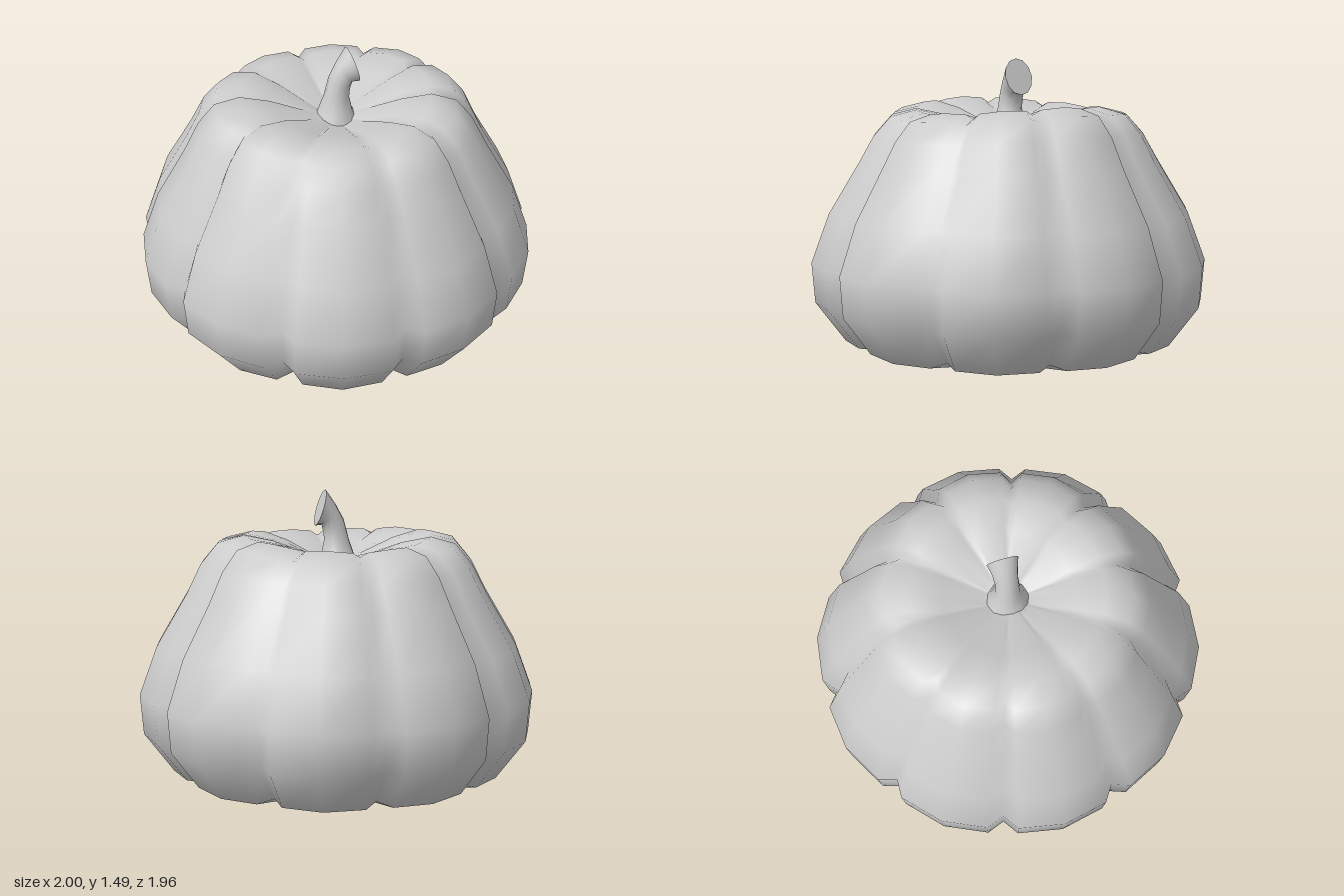
import * as THREE from 'three';

const LOBES = 10;
// share of the groove depth at the four points across one lobe
const GROOVE = [0, 0.22, 1, 0.22];
const LOBE_ANGLES = [0, 13.5, 18, 22.5];

// skin through closed rings of points, ordered from bottom to top
function loft(rings) {
  const n = rings[0].length;
  const index = [];
  for (let i = 0; i < rings.length - 1; i++) {
    for (let j = 0; j < n; j++) {
      const a = i * n + j, b = i * n + (j + 1) % n;
      index.push(a, a + n, b, b, a + n, b + n);
    }
  }
  const geometry = new THREE.BufferGeometry().setFromPoints(rings.flat());
  geometry.setIndex(index);
  geometry.computeVertexNormals();
  return geometry;
}

// one ribbed ring: radius, height, groove depth inward, groove height change
function ribbedRing([r, y, depth, lift]) {
  const points = [];
  for (let k = 0; k < LOBES; k++) {
    for (let s = 0; s < 4; s++) {
      const angle = THREE.MathUtils.degToRad(k * 36 + LOBE_ANGLES[s]);
      const radius = r - depth * GROOVE[s];
      // the crown sits slightly lower towards the front and back
      const drop = 0.035 * Math.sin(angle) ** 2 * THREE.MathUtils.smoothstep(y, 0.9, 1.24);
      points.push(new THREE.Vector3(
        radius * Math.cos(angle), y + lift * GROOVE[s] - drop, radius * Math.sin(angle)));
    }
  }
  return points;
}

// one stem ring: centre x and y, tilt in degrees, radius, radius along z
function stemRing([x, y, tilt, r, rz]) {
  const t = THREE.MathUtils.degToRad(tilt);
  const points = [];
  for (let j = 0; j < 12; j++) {
    const a = j / 12 * Math.PI * 2;
    points.push(new THREE.Vector3(
      x + r * Math.cos(a) * Math.cos(t), y + r * Math.cos(a) * Math.sin(t), rz * Math.sin(a)));
  }
  return points;
}

export function createModel() {
  const group = new THREE.Group();
  const material = new THREE.MeshStandardMaterial({ color: 0xcccccc });
  const add = (name, rings) => {
    const mesh = new THREE.Mesh(loft(rings), material);
    mesh.name = name;
    group.add(mesh);
  };

  // ribbed body, from the bottom rim over the crown into the hollow
  const rim = [0.56, 0.035, 0.06, 0.04];
  add('body', [
    rim,
    [0.84, 0.1, 0.08, 0.02],
    [0.985, 0.3, 0.08, 0],
    [1.0, 0.5, 0.08, 0],
    [0.91, 0.74, 0.08, 0],
    [0.76, 0.99, 0.07, 0],
    [0.685, 1.14, 0.07, -0.01],
    [0.6, 1.24, 0.06, -0.02],
    [0.47, 1.273, 0.02, -0.03],
    [0.32, 1.24, 0, -0.02],
    [0.12, 1.16, 0, 0],
    [0, 1.14, 0, 0],
  ].map(ribbedRing));

  // nearly flat underside
  add('underside', [[0, 0, 0, 0], rim].map(ribbedRing));

  // bent stem with a slanted cut
  const cut = [0.0875, 1.4, -73, 0.093, 0.077];
  add('stem', [
    [0, 1.11, 0, 0.11, 0.11],
    [0, 1.17, 0, 0.083, 0.083],
    [0.005, 1.24, 0, 0.063, 0.06],
    [0.02, 1.31, -30, 0.06, 0.057],
    [0.045, 1.365, -55, 0.062, 0.062],
    cut,
  ].map(stemRing));
  add('stemCut', [cut, [cut[0], cut[1], cut[2], 0, 0]].map(stemRing));

  return group;
}
